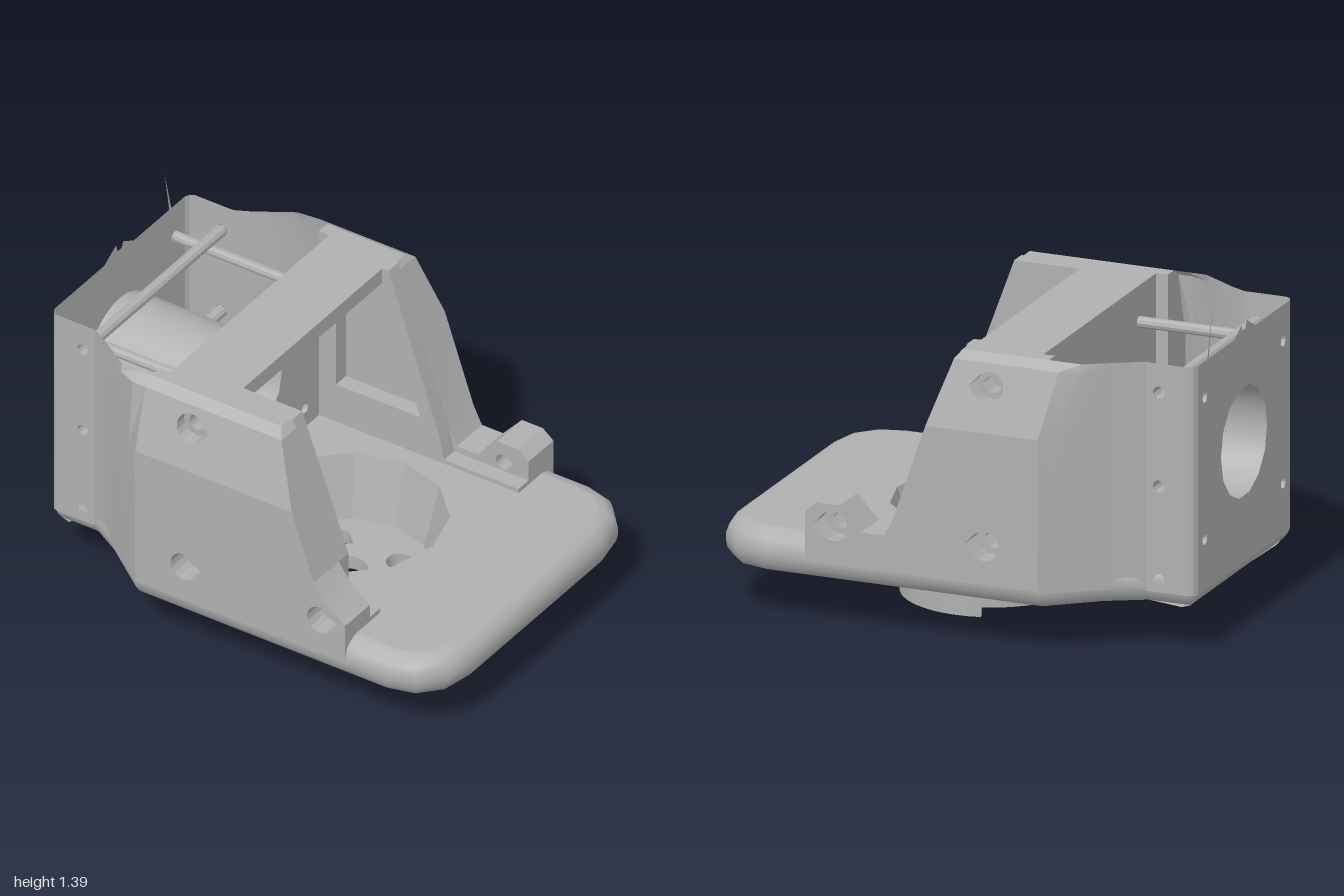
import * as THREE from 'three';
import { toCreasedNormals } from 'three/addons/utils/BufferGeometryUtils.js';
import { ConvexGeometry } from 'three/addons/geometries/ConvexGeometry.js';

const V2 = (p) => new THREE.Vector2(p[0], p[1]);

// Surface through rows of points
function loft(rows, closed) {
  const n = rows[0].length, index = [];
  for (let i = 0; i < rows.length - 1; i++) {
    for (let j = 0; j < (closed ? n : n - 1); j++) {
      const a = i * n + j, b = i * n + (j + 1) % n;
      index.push(a, b, b + n, a, b + n, a + n);
    }
  }
  const geo = new THREE.BufferGeometry();
  geo.setAttribute('position', new THREE.Float32BufferAttribute(rows.flat(2), 3));
  geo.setIndex(index);
  return geo;
}

function outline(points, holes = []) {
  const shape = new THREE.Shape(points.map(V2));
  shape.holes = holes;
  return shape;
}

function circle(x, y, r, n = 14) {
  const pts = [];
  for (let i = 0; i < n; i++) {
    const a = i / n * Math.PI * 2;
    pts.push(new THREE.Vector2(x + r * Math.cos(a), y + r * Math.sin(a)));
  }
  return new THREE.Path(pts);
}

// Round hole with a pointed end towards +x
function teardropPoints(x, y, r) {
  const pts = [[x + r * 1.41, y]];
  for (let i = 0; i <= 12; i++) {
    const a = Math.PI / 4 + i / 12 * Math.PI * 1.5;
    pts.push([x + r * Math.cos(a), y + r * Math.sin(a)]);
  }
  return pts;
}
const teardrop = (x, y, r) => new THREE.Path(teardropPoints(x, y, r).map(V2));

// Outer face of the side walls leans inwards near the top
function wallZ(y) {
  if (y <= 0.9) return 0.735;
  if (y <= 1.17) return 0.735 - (y - 0.9) / 0.27 * 0.07;
  return 0.665 - (y - 1.17) / 0.03 * 0.045;
}

// Upright slab on side s, from z = inner to z = outer(y)
function slab(shape, s, inner, outer) {
  const geo = new THREE.ExtrudeGeometry(shape, { depth: 1, bevelEnabled: false, curveSegments: 8 });
  const p = geo.attributes.position;
  for (let i = 0; i < p.count; i++) {
    const isOuter = (p.getZ(i) > 0.5) === (s > 0);
    p.setZ(i, s * (isOuter ? outer(p.getY(i)) : inner));
  }
  return geo;
}

export function createModel() {
  const model = new THREE.Group();
  const gray = new THREE.MeshStandardMaterial({ color: 0xb0b0b0, side: THREE.DoubleSide });
  gray.name = 'gray plastic';
  const add = (name, geo, crease = 0.6) => {
    const mesh = new THREE.Mesh(toCreasedNormals(geo, crease), gray);
    mesh.name = name;
    model.add(mesh);
    return mesh;
  };
  const flatPlan = (shape, y) => new THREE.ShapeGeometry(shape).rotateX(Math.PI / 2).translate(0, y, 0);
  const thickPlan = (shape, y0, y1) =>
    new THREE.ExtrudeGeometry(shape, { depth: y1 - y0, bevelEnabled: false, curveSegments: 16 })
      .rotateX(Math.PI / 2).translate(0, y1, 0);
  const facingX = (shape, x) => new THREE.ShapeGeometry(shape).rotateY(-Math.PI / 2).translate(x, 0, 0);

  // Base plate with rounded rim
  const half = [[-1, 0.46], [-0.97, 0.49], [-0.79, 0.49], [-0.65, 0.57], [-0.43, 0.735], [0.75, 0.735],
    [0.88, 0.7], [0.97, 0.6], [1, 0.45]];
  const plan = [...half, ...half.map(([x, z]) => [x, -z]).reverse()];
  const inset = (d) => plan.map((p, i) => {
    const a = plan[(i + plan.length - 1) % plan.length], b = plan[(i + 1) % plan.length];
    const tx = b[0] - a[0], tz = b[1] - a[1], l = Math.hypot(tx, tz);
    return [p[0] + tz / l * d, p[1] - tx / l * d];
  });
  const rim = [[0.19, 0.07], [0.205, 0.03], [0.235, 0.007], [0.27, 0], [0.3, 0.002], [0.335, 0.015],
    [0.36, 0.045], [0.37, 0.08]];
  add('baseRim', loft(rim.map(([y, d]) => inset(d).map(([x, z]) => [x, y, z])), true), 0.9);
  add('baseBottom', flatPlan(outline(inset(0.07), [circle(0.08, 0, 0.36, 24)]), 0.19));
  const topPlan = inset(0.08).filter((p) => p[0] > -0.5);
  topPlan.unshift([-0.43, 0.65]);
  topPlan.push([-0.43, -0.65]);
  add('baseTop', flatPlan(outline(topPlan, [circle(0.08, 0, 0.41, 12)]), 0.37));

  // Round recess in the base and the boss below it
  const recess = [];
  for (const [r, y] of [[0.34, 0.1], [0.41, 0.37]]) {
    recess.push([...Array(12)].map((_, i) => {
      const a = i / 12 * Math.PI * 2;
      return [0.08 + r * Math.cos(a), y, r * Math.sin(a)];
    }));
  }
  add('recessWall', loft(recess, true), 0.3);
  const screwHoles = [teardrop(0.08, 0, 0.085)];
  for (const x of [-0.07, 0.23]) for (const z of [-0.155, 0.155]) screwHoles.push(teardrop(x, z, 0.055));
  add('recessFloor', thickPlan(outline(circle(0.08, 0, 0.368, 32).getPoints().map((p) => [p.x, p.y]), screwHoles), 0.04, 0.1));
  add('bossWall', new THREE.CylinderGeometry(0.37, 0.37, 0.15, 32, 1, true).translate(0.08, 0.115, 0));
  const lip = new THREE.Shape();
  lip.absarc(0.08, 0, 0.37, -1.85, 1.85, false);
  lip.absarc(0.08, 0, 0.33, 1.85, -1.85, true);
  add('bossLip', thickPlan(lip, 0, 0.04));
  add('bossWedge', new ConvexGeometry([[-0.44, 0.19, 0], [-0.25, 0.19, 0.19], [-0.25, 0.19, -0.19],
    [-0.26, 0.04, 0.17], [-0.26, 0.04, -0.17], [-0.25, 0.04, 0.19], [-0.25, 0.04, -0.19]]
    .map((p) => new THREE.Vector3(...p))));

  // Side walls: the +z one reaches further forward
  const walls = [
    { name: 'left', s: 1, mid: 0.315, top: 0.22, end: 0.19,
      foot: [[0.57, 0.27], [0.57, 0.45], [0.48, 0.52], [0.42, 0.6]],
      frame: [[-0.38, 0.37], [0.42, 0.37], [0.42, 0.6], [0.2, 1.2], [-0.38, 1.2]],
      pocket: [[-0.3, 0.54], [0.33, 0.54], [0.17, 0.98], [-0.3, 0.98]] },
    { name: 'right', s: -1, mid: 0.053, top: -0.04, end: -0.06,
      foot: [[0.57, 0.27], [0.57, 0.48], [0.52, 0.52], [0.42, 0.52], [0.33, 0.42], [0.23, 0.42], [0.19, 0.5]],
      frame: [[-0.38, 0.37], [0.22, 0.37], [0.19, 0.5], [-0.05, 1.2], [-0.38, 1.2]],
      pocket: [[-0.3, 0.55], [0.1, 0.55], [-0.05, 1.02], [-0.3, 1.02]] },
  ];
  for (const w of walls) {
    const { s } = w;
    add(w.name + 'WallLower', slab(outline([[-0.43, 0.27], ...w.foot, [w.mid, 0.9], [-0.43, 0.9]],
      [teardrop(-0.2, 0.43, 0.062), teardrop(0.45, 0.43, 0.062)]), s, 0.56, wallZ), 0.3);
    add(w.name + 'WallUpper', slab(outline([[-0.43, 0.9], [w.mid, 0.9], [w.top, 1.17], [-0.43, 1.17]],
      [teardrop(-0.2, 1.075, 0.062)]), s, 0.56, wallZ), 0.3);
    add(w.name + 'WallCap', slab(outline([[-0.43, 1.17], [w.top, 1.17], [w.end, 1.2], [-0.43, 1.2]]), s, 0.56, wallZ), 0.3);
    add(w.name + 'WallFrame', slab(outline(w.frame, [new THREE.Path(w.pocket.map(V2))]), s, 0.49, () => 0.56), 0.3);
    add(w.name + 'WallFoot', new THREE.BoxGeometry(0.38, 0.06, 0.07).translate(0.38, 0.36, s * 0.525));
    for (const [x, y] of [[-0.2, 0.43], [0.45, 0.43], [-0.2, 1.075]]) {
      add('screwSeat', slab(outline(teardropPoints(x, y, 0.063), [teardrop(x, y, 0.035)]), s, 0.56, () => 0.64));
    }

    // Rear side skins: flat drilled part, then the flare out to the wall
    const drilled = outline([[-0.97, 0.25], [-0.79, 0.25], [-0.79, 1.2], [-0.97, 1.2]],
      [0.3, 0.69, 1.08].map((y) => circle(-0.845, y, 0.026, 10)));
    add('rearSide', new THREE.ShapeGeometry(drilled).translate(0, 0, s * 0.49));
    const stations = [[-0.79, 0.49], [-0.72, 0.525], [-0.65, 0.57], [-0.57, 0.63], [-0.49, 0.69], [-0.43, 0.735]];
    if (s < 0) stations.reverse();
    add('rearFlare', loft([0.26, 0.9, 1.17, 1.2].map((y) =>
      stations.map(([x, z]) => [x, y, s * Math.min(z, wallZ(y))])), false), 0.35);
    const corner = [[-1, 0.46], [-0.99, 0.48], [-0.97, 0.49]];
    if (s < 0) corner.reverse();
    add('rearCorner', loft([0.25, 1.2].map((y) => corner.map(([x, z]) => [x, y, s * z])), false));
  }

  // Rear end wall with a ragged top edge, and the motor plate
  const mounts = [];
  for (const z of [-0.39, 0.39]) for (const y of [0.46, 1.05]) mounts.push([z, y]);
  const drill = () => [circle(0, 0.75, 0.23, 14), ...mounts.map(([z, y]) => circle(z, y, 0.023, 10))];
  add('rearEndWall', facingX(outline([[-0.46, 0.25], [0.46, 0.25], [0.46, 1.2], [0.11, 1.2], [0.025, 1.25],
    [0.015, 1.215], [-0.015, 1.215], [-0.025, 1.24], [-0.1, 1.2], [-0.35, 1.2], [-0.318, 1.39],
    [-0.365, 1.2], [-0.46, 1.2]], drill()), -1));
  add('motorPlate', facingX(outline([[-0.58, 0.36], [0.58, 0.36], [0.58, 1.2], [-0.58, 1.2]], drill()), -0.38));
  add('topBar', new THREE.BoxGeometry(0.3, 0.07, 1).translate(-0.23, 1.165, 0));

  // Bore and screw channels running through the open rear
  const tubeX = (r, n, y, z) => new THREE.CylinderGeometry(r, r, 0.62, n, 1, true)
    .rotateZ(Math.PI / 2).translate(-0.69, y, z);
  add('motorBore', tubeX(0.23, 28, 0.75, 0));
  for (const [z, y] of mounts) add('mountChannel', tubeX(0.023, 10, y, z));
  const tubeZ = (y, z0, z1) => new THREE.CylinderGeometry(0.026, 0.026, z1 - z0, 10, 1, true)
    .rotateX(Math.PI / 2).translate(-0.845, y, (z0 + z1) / 2);
  for (const [y, z0, z1] of [[0.3, -0.49, 0.49], [1.08, -0.49, 0.49], [0.69, 0.22, 0.49], [0.69, -0.49, -0.22]]) {
    add('crossChannel', tubeZ(y, z0, z1));
  }
  return model;
}
